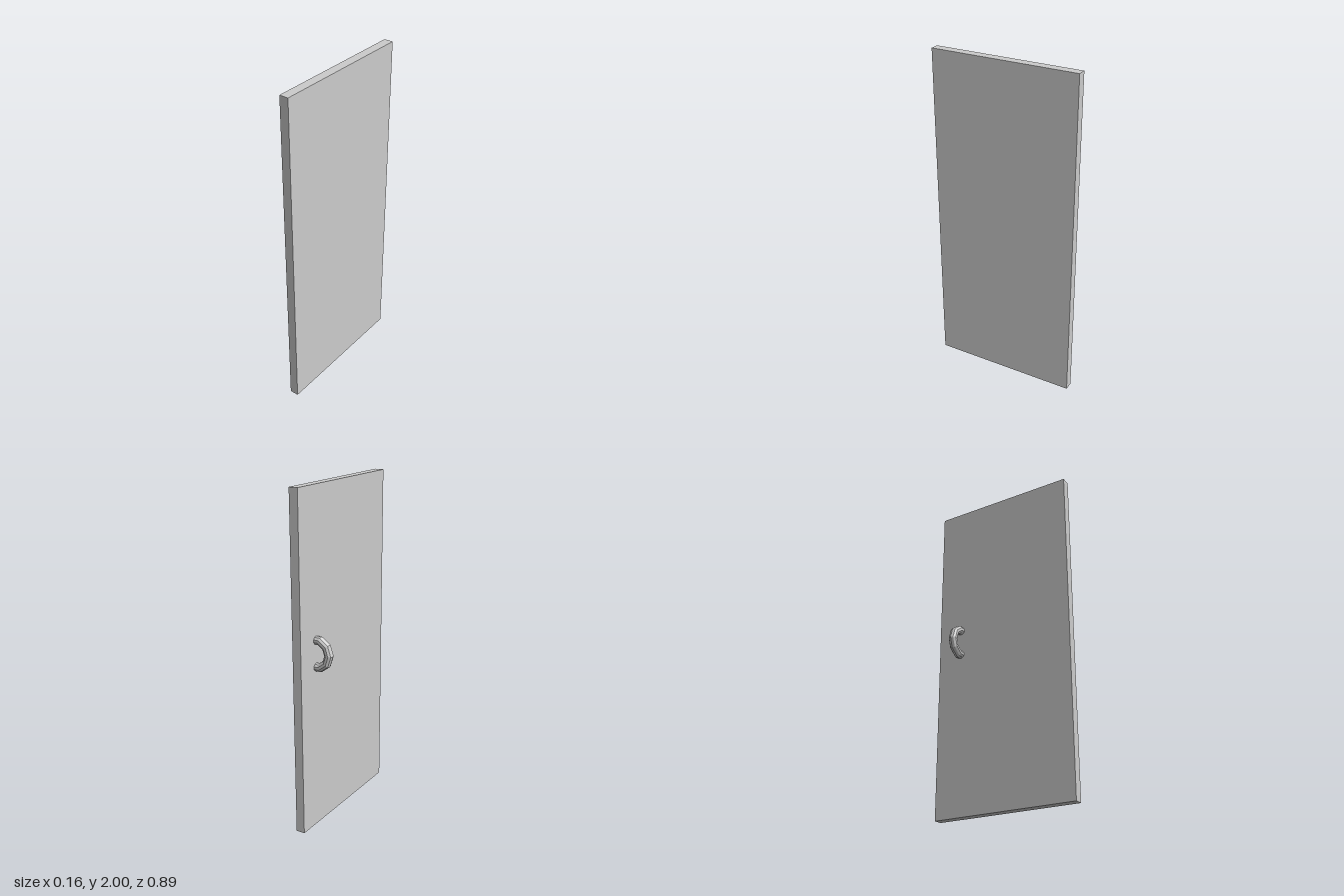
import * as THREE from 'three';

export function createModel() {
  const group = new THREE.Group();
  const material = new THREE.MeshStandardMaterial({ color: 0xcccccc, flatShading: true });

  // Door slab
  const door = new THREE.Mesh(new THREE.BoxGeometry(0.054, 2, 0.89), material);
  door.name = 'doorPanel';
  door.position.set(0.055, 1, 0);
  group.add(door);

  // Faceted ring handle, with both ends sunk into the slab
  const step = Math.PI / 5;
  const ring = new THREE.TorusGeometry(0.083, 0.026, 10, 6, step * 6);
  ring.rotateZ(step * 2);
  const handle = new THREE.Mesh(ring, material);
  handle.name = 'pullHandle';
  handle.position.set(0.027, 1.068, -0.294);
  group.add(handle);

  return group;
}
